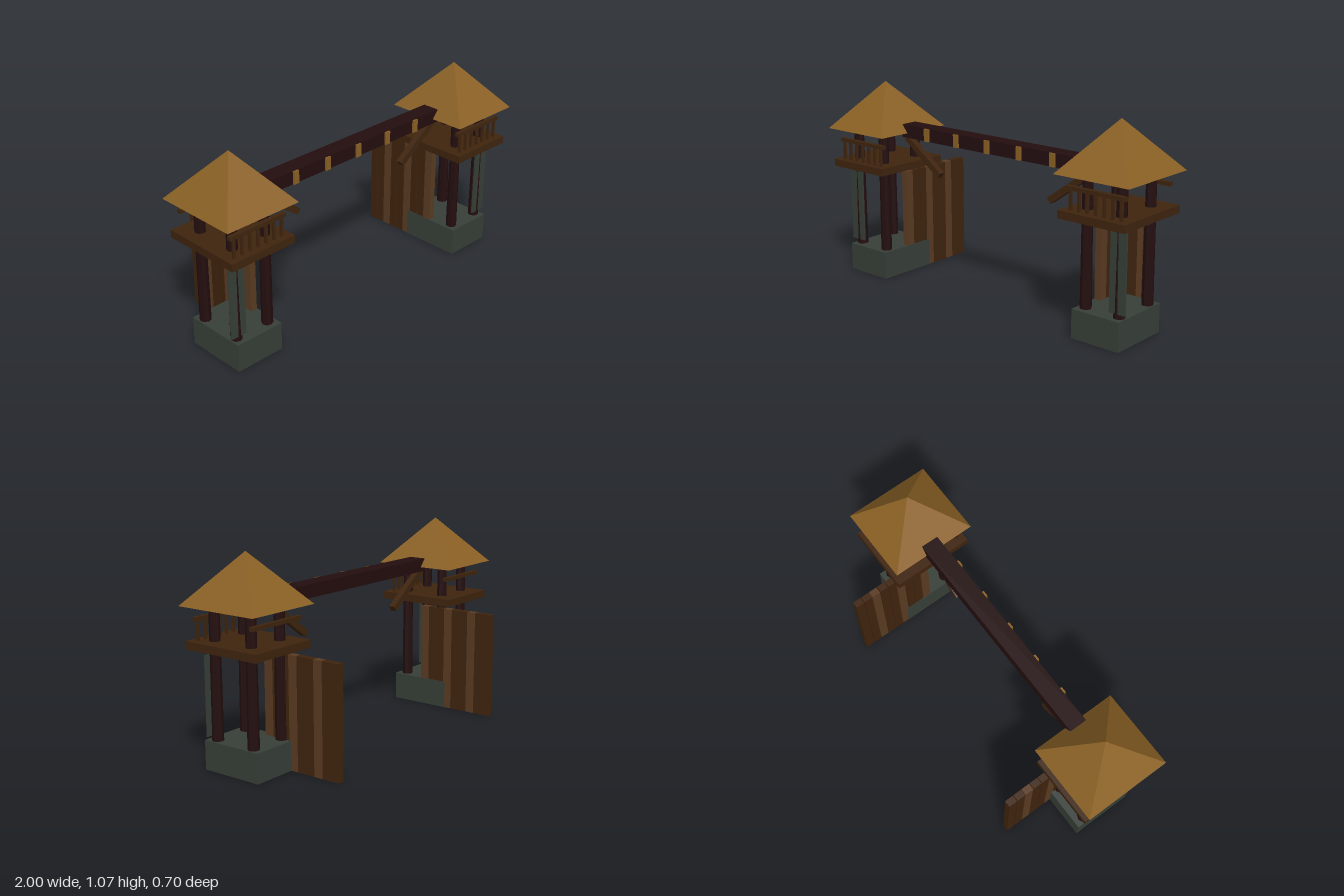
import * as THREE from 'three';

const paint = (name, color) => {
  const m = new THREE.MeshStandardMaterial({ color, flatShading: true });
  m.name = name;
  return m;
};

export function createModel() {
  const thatch = paint('thatch', 0x8a6024);
  const darkWood = paint('dark wood', 0x240e0f);
  const brownWood = paint('brown wood', 0x3f240e);
  const lightWood = paint('light wood', 0x5a3b22);
  const stone = paint('stone', 0x373f38);
  const iron = paint('iron', 0x1c1a18);

  const model = new THREE.Group();
  model.name = 'gateway';

  const add = (parent, name, geometry, material, x, y, z) => {
    const mesh = new THREE.Mesh(geometry, material);
    mesh.name = name;
    mesh.position.set(x, y, z);
    parent.add(mesh);
    return mesh;
  };
  const box = (parent, name, material, w, h, d, x, y, z) =>
    add(parent, name, new THREE.BoxGeometry(w, h, d), material, x, y, z);

  const midZ = 0.115;

  for (const s of [-1, 1]) {
    const tower = new THREE.Group();
    tower.name = s > 0 ? 'leftTower' : 'rightTower';
    model.add(tower);

    // Stone footing and the four tapered posts, which show through its underside
    box(tower, 'footing', stone, 0.275, 0.15, 0.34, s * 0.783, 0.075, midZ);
    for (const x of [0.69, 0.885]) {
      for (const z of [0, 0.232]) {
        add(tower, 'post', new THREE.CylinderGeometry(0.026, 0.03, 0.822, 8), darkWood, s * x, 0.41, z);
      }
    }

    // Hanging slab on the outer front post
    box(tower, 'hangingPanel', stone, 0.092, 0.4, 0.008, s * 0.889, 0.375, 0.254);

    // Lookout deck with front and back rails
    box(tower, 'deck', brownWood, 0.38, 0.04, 0.447, s * 0.785, 0.62, midZ);
    box(tower, 'frontRail', brownWood, 0.335, 0.02, 0.022, s * 0.786, 0.746, 0.296);
    box(tower, 'backRail', brownWood, 0.335, 0.02, 0.022, s * 0.786, 0.746, -0.064);
    for (let i = -3; i <= 3; i++) {
      box(tower, 'baluster', brownWood, 0.013, 0.1, 0.013, s * 0.786 + i * 0.048, 0.688, 0.299);
    }

    // Pyramid roof
    const roof = new THREE.ConeGeometry(Math.SQRT1_2, 1, 4);
    roof.rotateY(Math.PI / 4);
    roof.scale(0.425, 0.255, 0.468);
    roof.computeVertexNormals();
    add(tower, 'roof', roof, thatch, s * 0.7875, 0.9375, midZ);

    // Diagonal brace under the beam
    const brace = box(tower, 'brace', brownWood, 0.3, 0.034, 0.034, s * 0.497, 0.688, midZ);
    brace.rotation.z = s * 0.625;

    // Open gate leaf: nine planks on two iron bars
    const gate = new THREE.Group();
    gate.name = 'gateLeaf';
    tower.add(gate);
    for (let i = 0; i < 9; i++) {
      box(gate, 'plank', i % 3 ? brownWood : lightWood, 0.036, 0.575, 0.047,
        s * 0.666, 0.2875, 0.084 - i * 0.051);
    }
    for (const y of [0.107, 0.448]) {
      box(gate, 'gateBar', iron, 0.02, 0.024, 0.44, s * 0.666, y, -0.12);
    }
  }

  // Lintel beam with five blocks on its face
  box(model, 'beam', darkWood, 1.23, 0.07, 0.095, 0, 0.82, midZ);
  for (let i = -2; i <= 2; i++) {
    box(model, 'beamBlock', thatch, 0.032, 0.068, 0.012, i * 0.2125, 0.82, 0.167);
  }

  return model;
}
